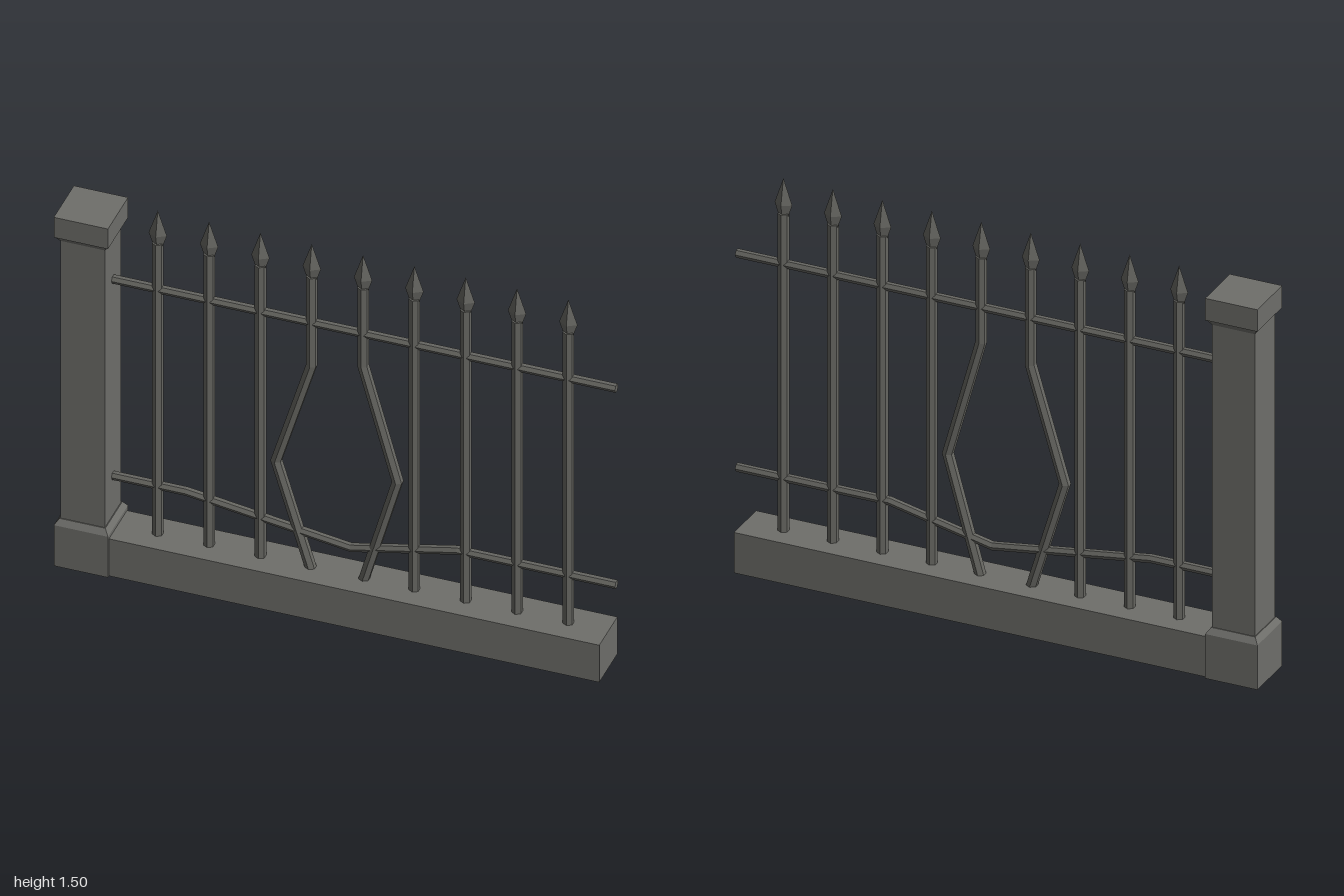
import * as THREE from 'three';

const stone = new THREE.MeshStandardMaterial({ name: 'stone', color: 0x6e6e6a, flatShading: true });
const iron = new THREE.MeshStandardMaterial({ name: 'iron', color: 0x666661, flatShading: true });

// Six-sided bar swept along a bent path in the XY plane, mitred at each bend
function barGeometry(path, radius, sides = 6) {
  const pts = path.map(([x, y]) => new THREE.Vector2(x, y));
  const dirs = pts.slice(1).map((p, i) => p.clone().sub(pts[i]).normalize());
  const rings = pts.map((p, i) => {
    const a = dirs[Math.max(i - 1, 0)];
    const b = dirs[Math.min(i, dirs.length - 1)];
    const t = a.clone().add(b).normalize();
    const stretch = 1 / t.dot(a);
    return Array.from({ length: sides }, (_, k) => {
      const angle = (k / sides) * Math.PI * 2;
      const side = Math.sin(angle) * radius * stretch;
      return [p.x - t.y * side, p.y + t.x * side, Math.cos(angle) * radius];
    });
  });
  const out = [];
  const tri = (a, b, c) => out.push(...a, ...b, ...c);
  for (let i = 0; i < rings.length - 1; i++) {
    for (let k = 0; k < sides; k++) {
      const n = (k + 1) % sides;
      const [a, b, c, d] = [rings[i][k], rings[i + 1][k], rings[i + 1][n], rings[i][n]];
      tri(a, b, c);
      tri(a, c, d);
    }
  }
  const first = rings[0];
  const last = rings[rings.length - 1];
  for (let k = 1; k < sides - 1; k++) {
    tri(first[0], first[k], first[k + 1]);
    tri(last[0], last[k + 1], last[k]);
  }
  const g = new THREE.BufferGeometry();
  g.setAttribute('position', new THREE.Float32BufferAttribute(out, 3));
  g.computeVertexNormals();
  return g;
}

export function createModel() {
  const group = new THREE.Group();
  const add = (name, geometry, material, x = 0, y = 0, z = 0) => {
    const mesh = new THREE.Mesh(geometry, material);
    mesh.name = name;
    mesh.position.set(x, y, z);
    group.add(mesh);
    return mesh;
  };

  // Low wall under the bars
  add('baseWall', new THREE.BoxGeometry(1.78, 0.155, 0.176), stone, 0.08, 0.0775, 0);

  // Square pillar: plinth, sloped shoulder, shaft, flared neck and cap
  const profile = [
    [0, 0], [0.098, 0], [0.098, 0.17], [0.083, 0.192], [0.08, 0.192], [0.08, 1.35],
    [0.095, 1.372], [0.098, 1.372], [0.098, 1.456], [0, 1.456],
  ].map(([half, y]) => new THREE.Vector2(half * Math.SQRT2, y));
  const pillar = new THREE.LatheGeometry(profile, 4, Math.PI / 4).toNonIndexed();
  pillar.computeVertexNormals();
  add('pillar', pillar, stone, -0.902, 0, 0);

  // Spear-topped bars; the two in the middle are bent apart
  const bends = {
    3: [[-0.128, 0.57], [0, 1.0]],
    4: [[0.125, 0.59], [0, 1.045]],
  };
  const tipProfile = [[0, 1.36], [0.018, 1.36], [0.033, 1.405], [0, 1.503]]
    .map(([r, y]) => new THREE.Vector2(r, y));
  const tip = new THREE.LatheGeometry(tipProfile, 4).toNonIndexed();
  tip.scale(1, 1, 0.62);
  tip.computeVertexNormals();
  for (let i = 0; i < 9; i++) {
    const x = -0.66 + i * 0.1857;
    const path = [[0, 0.14], ...(bends[i] || []), [0, 1.37]];
    add(bends[i] ? 'bentBar' : 'bar', barGeometry(path, 0.02), iron, x);
    add('spearTip', tip, iron, x);
  }

  // Horizontal rails
  add('topRail', barGeometry([[-0.83, 1.177], [1, 1.177]], 0.016), iron);
  add('bentRail', barGeometry(
    [[-0.83, 0.357], [-0.555, 0.357], [0.04, 0.272], [0.425, 0.357], [1, 0.357]], 0.016), iron);

  return group;
}
